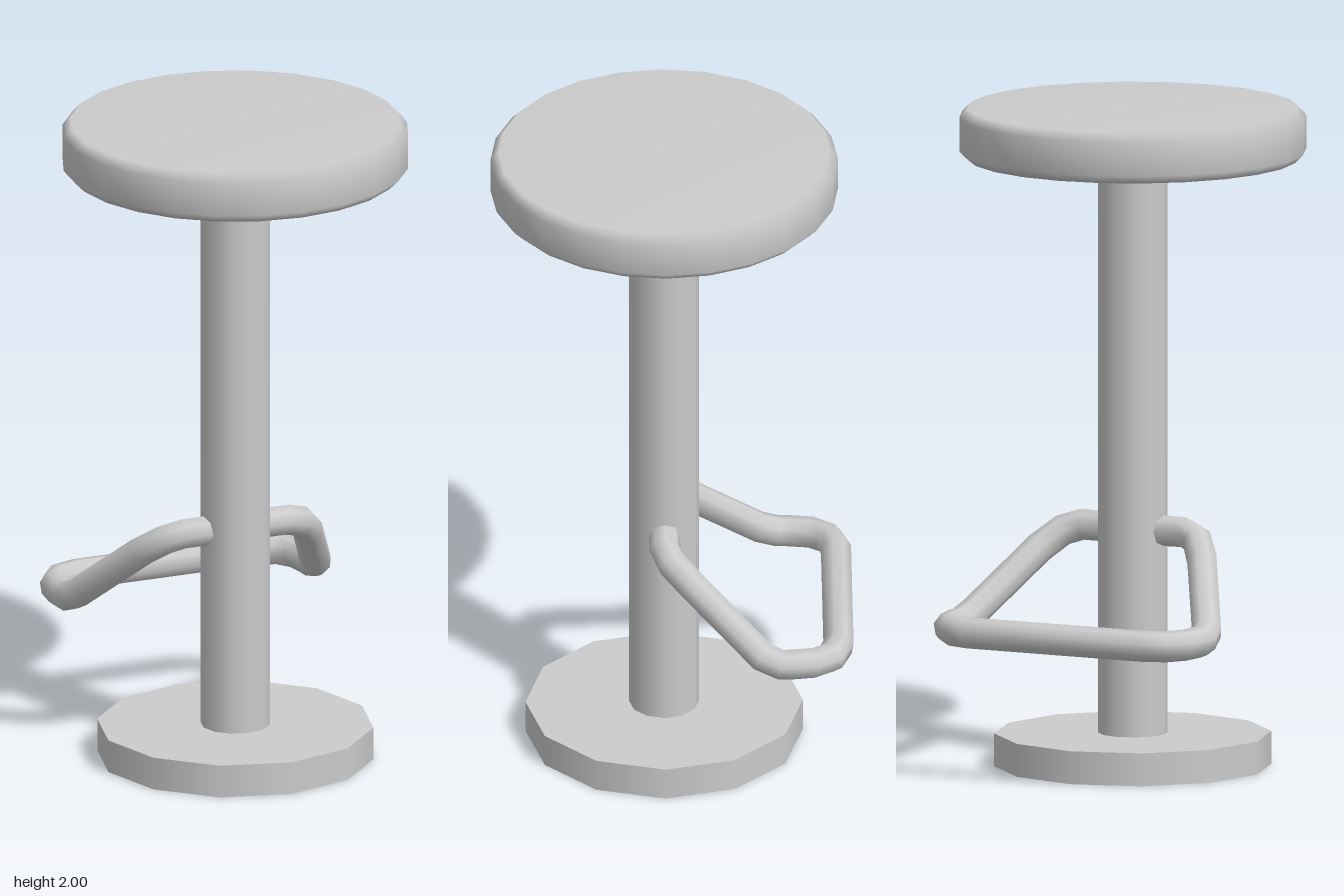
import * as THREE from 'three';

const AXIS_Z = 0.02; // the column sits slightly forward of the footrest's overhang

// Polyline whose rings sit exactly on the given points, mitred at each bend
class BentPath extends THREE.Curve {
  constructor(points) {
    super();
    this.points = points;
  }
  getPoint(t, target = new THREE.Vector3()) {
    const f = t * (this.points.length - 1);
    const i = Math.min(Math.floor(f + 1e-6), this.points.length - 2);
    return target.lerpVectors(this.points[i], this.points[i + 1], f - i);
  }
  getPointAt(u, target) {
    return this.getPoint(u, target);
  }
  getTangentAt(u, target = new THREE.Vector3()) {
    const p = this.points, i = Math.round(u * (p.length - 1));
    target.set(0, 0, 0);
    if (i > 0) target.add(p[i].clone().sub(p[i - 1]).normalize());
    if (i < p.length - 1) target.add(p[i + 1].clone().sub(p[i]).normalize());
    return target.normalize();
  }
}

export function createModel() {
  const group = new THREE.Group();
  const material = new THREE.MeshStandardMaterial({ color: 0xcccccc });

  const add = (name, geometry, y, z) => {
    const mesh = new THREE.Mesh(geometry, material);
    mesh.name = name;
    mesh.position.set(0, y, z);
    group.add(mesh);
  };

  // Floor disc and column
  add('base', new THREE.CylinderGeometry(0.417, 0.417, 0.1, 12), 0.05, AXIS_Z);
  add('column', new THREE.CylinderGeometry(0.105, 0.105, 1.77, 12), 0.975, AXIS_Z);

  // Round cushion with softened rims
  const profile = [
    [0, 1.845], [0.497, 1.845], [0.522, 1.87], [0.522, 1.973], [0.497, 2], [0, 2],
  ].map(([r, y]) => new THREE.Vector2(r, y));
  add('seat', new THREE.LatheGeometry(profile, 24), 0, AXIS_Z);

  // Footrest: half of the bent bar, mirrored across x = 0
  const half = [
    [0.08, 0.72, 0.02], [0.17, 0.72, 0.02], [0.225, 0.702, 0], [0.272, 0.655, -0.06],
    [0.393, 0.475, -0.27], [0.405, 0.454, -0.325], [0.405, 0.454, -0.355],
    [0.395, 0.454, -0.425], [0.36, 0.454, -0.477], [0.29, 0.454, -0.5],
  ];
  const mirrored = half.map(([x, y, z]) => [-x, y, z]).reverse();
  const path = [...half, ...mirrored].map((p) => new THREE.Vector3(...p));
  add('footrest', new THREE.TubeGeometry(new BentPath(path), path.length - 1, 0.047, 8), 0, 0);

  return group;
}
